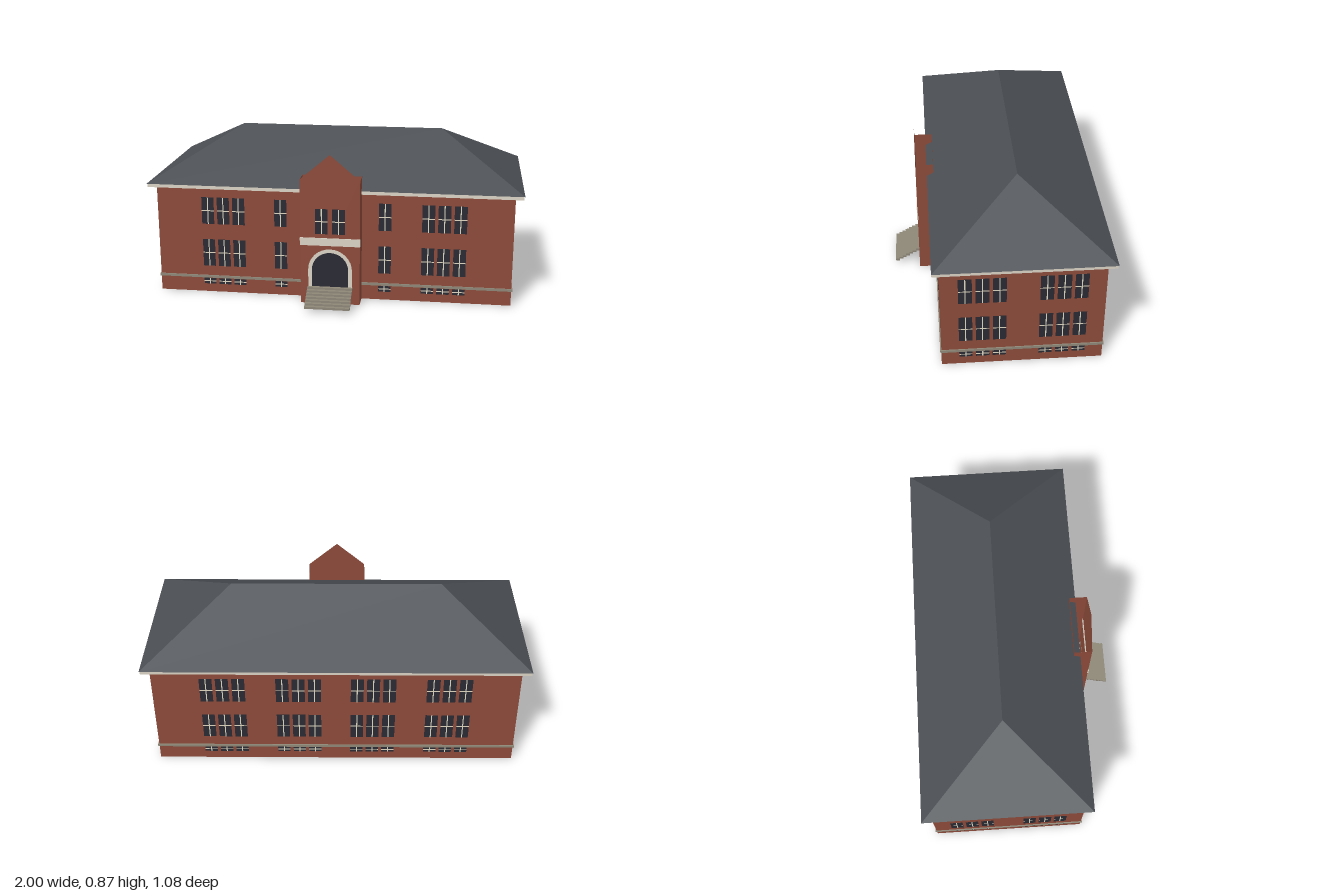
import * as THREE from 'three';

const mat = (name, color, side = THREE.FrontSide) => {
  const m = new THREE.MeshStandardMaterial({ color, side });
  m.name = name;
  return m;
};

// Box without its top and bottom faces
const openBox = (w, h, d) => {
  const geo = new THREE.BoxGeometry(w, h, d);
  geo.setIndex([...geo.index.array].filter((_, i) => i < 12 || i > 23));
  geo.clearGroups();
  return geo;
};

// Flat rectangular ring lying in the xz plane, rising from y = 0
const ring = (w, d, rim, h) => {
  const rect = (a, b) => [[-a, -b], [a, -b], [a, b], [-a, b]].map(([x, y]) => new THREE.Vector2(x, y));
  const shape = new THREE.Shape(rect(w / 2, d / 2));
  shape.holes.push(new THREE.Path(rect(w / 2 - rim, d / 2 - rim)));
  return new THREE.ExtrudeGeometry(shape, { depth: h, bevelEnabled: false }).rotateX(-Math.PI / 2);
};

export function createModel() {
  const model = new THREE.Group();
  model.name = 'schoolhouse';
  const brick = mat('red brick', 0x8d4b3b, THREE.DoubleSide);
  const slate = mat('roof slate', 0x4a4e53);
  const trim = mat('pale trim', 0xdcd4c6);
  const cream = mat('cream glazing bars', 0xe2dac4);
  const stone = mat('grey stone', 0x8e8878);
  const glass = mat('dark glass', 0x292a34);

  const add = (parent, name, geo, material, x = 0, y = 0, z = 0) => {
    const m = new THREE.Mesh(geo, material);
    m.name = name;
    m.position.set(x, y, z);
    parent.add(m);
    return m;
  };
  // Box given by its ranges along y and z, centred on x = 0
  const block = (name, w, y0, y1, z0, z1, material) =>
    add(model, name, new THREE.BoxGeometry(w, y1 - y0, z1 - z0), material, 0, (y0 + y1) / 2, (z0 + z1) / 2);

  // Main walls (open below), belt course around them, and eaves
  const back = -0.5, front = 0.31, midZ = (back + front) / 2, halfX = 0.955;
  add(model, 'mainWalls', openBox(halfX * 2, 0.6, front - back), brick, 0, 0.3, midZ);
  add(model, 'beltCourse', ring(halfX * 2 + 0.012, front - back + 0.012, 0.006, 0.014), stone, 0, 0.081, midZ);
  block('eaves', 1.992, 0.595, 0.613, -0.536, 0.345, trim);

  // Hipped roof: a box whose top edges are drawn in to a ridge
  const roof = openBox(2, 0.252, 0.887);
  const p = roof.attributes.position;
  for (let i = 0; i < p.count; i++) {
    if (p.getY(i) > 0) {
      p.setX(i, Math.sign(p.getX(i)) * 0.556);
      p.setZ(i, 0);
    }
  }
  roof.computeVertexNormals();
  add(model, 'hippedRoof', roof, slate, 0, 0.739, -0.0975);

  // Entrance tower: open shell with a gabled front
  const tw = 0.158, tz = 0.405, th = 0.683;
  const tower = new THREE.Group();
  tower.name = 'entranceTower';
  model.add(tower);
  const gable = new THREE.Shape([[-tw, 0], [tw, 0], [tw, th], [0, 0.817], [-tw, th]]
    .map(([x, y]) => new THREE.Vector2(x, y)));
  add(tower, 'towerFront', new THREE.ShapeGeometry(gable), brick, 0, 0, tz);
  for (const s of [-1, 1]) {
    add(tower, 'towerSide', new THREE.PlaneGeometry(tz - front, th), brick, s * tw, th / 2, (tz + front) / 2)
      .rotation.y = s * Math.PI / 2;
  }
  add(tower, 'towerBack', new THREE.PlaneGeometry(tw * 2, th - 0.6), brick, 0, (th + 0.6) / 2, front)
    .rotation.y = Math.PI;
  block('towerBand', 0.32, 0.326, 0.368, tz - 0.003, tz + 0.004, trim);

  // Arched doorway with its surround, flush with the tower front
  const arch = (shape, r) => {
    shape.moveTo(-r, 0.09);
    shape.lineTo(r, 0.09);
    shape.lineTo(r, 0.19);
    shape.absarc(0, 0.19, r, 0, Math.PI, false);
    shape.lineTo(-r, 0.09);
    return shape;
  };
  const surround = arch(new THREE.Shape(), 0.117);
  surround.holes.push(arch(new THREE.Path(), 0.097));
  add(model, 'doorArch', new THREE.ShapeGeometry(surround, 8), trim, 0, 0, tz + 0.0015);
  add(model, 'door', new THREE.ShapeGeometry(arch(new THREE.Shape(), 0.097), 8), glass, 0, 0, tz + 0.0015);

  // Open flight of steps
  for (let i = 0; i < 7; i++) {
    const y = 0.097 - i * 0.0109, z = tz + i * 0.0191;
    block('stepTread', 0.24, y - 0.012, y, z - 0.001, z + 0.0205, stone);
  }

  // Window: flush glass with a cross of glazing bars, facing the wall's local +z
  const addWindow = (wall, x, y0, y1) => {
    const w = 0.067, h = y1 - y0, bar = 0.0055;
    const win = new THREE.Group();
    win.name = 'window';
    win.position.set(x, (y0 + y1) / 2, 0.001);
    wall.add(win);
    add(win, 'pane', new THREE.PlaneGeometry(w, h), glass);
    add(win, 'uprightBar', new THREE.PlaneGeometry(bar, h), cream, 0, 0, 0.001);
    add(win, 'crossBar', new THREE.PlaneGeometry(w, bar), cream, 0, 0, 0.0012);
  };
  const rows = [[0.045, 0.078], [0.15, 0.303], [0.39, 0.54]];
  const triple = c => [c - 0.084, c, c + 0.084];
  const addWall = (name, x, z, turn, columns, levels = rows) => {
    const wall = new THREE.Group();
    wall.name = name;
    wall.position.set(x, 0, z);
    wall.rotation.y = turn;
    model.add(wall);
    for (const c of columns) for (const [y0, y1] of levels) addWindow(wall, c, y0, y1);
  };
  addWall('frontWindows', 0, front, 0, [...triple(-0.594), -0.281, 0.281, ...triple(0.594)]);
  addWall('backWindows', 0, back, Math.PI, [-0.59, -0.195, 0.195, 0.59].flatMap(triple));
  for (const s of [-1, 1]) {
    addWall('sideWindows', s * halfX, midZ, s * Math.PI / 2, [-0.199, 0.199].flatMap(triple));
  }
  addWall('towerWindows', 0, tz, 0, [-0.045, 0.045], [[0.39, 0.527]]);

  return model;
}
